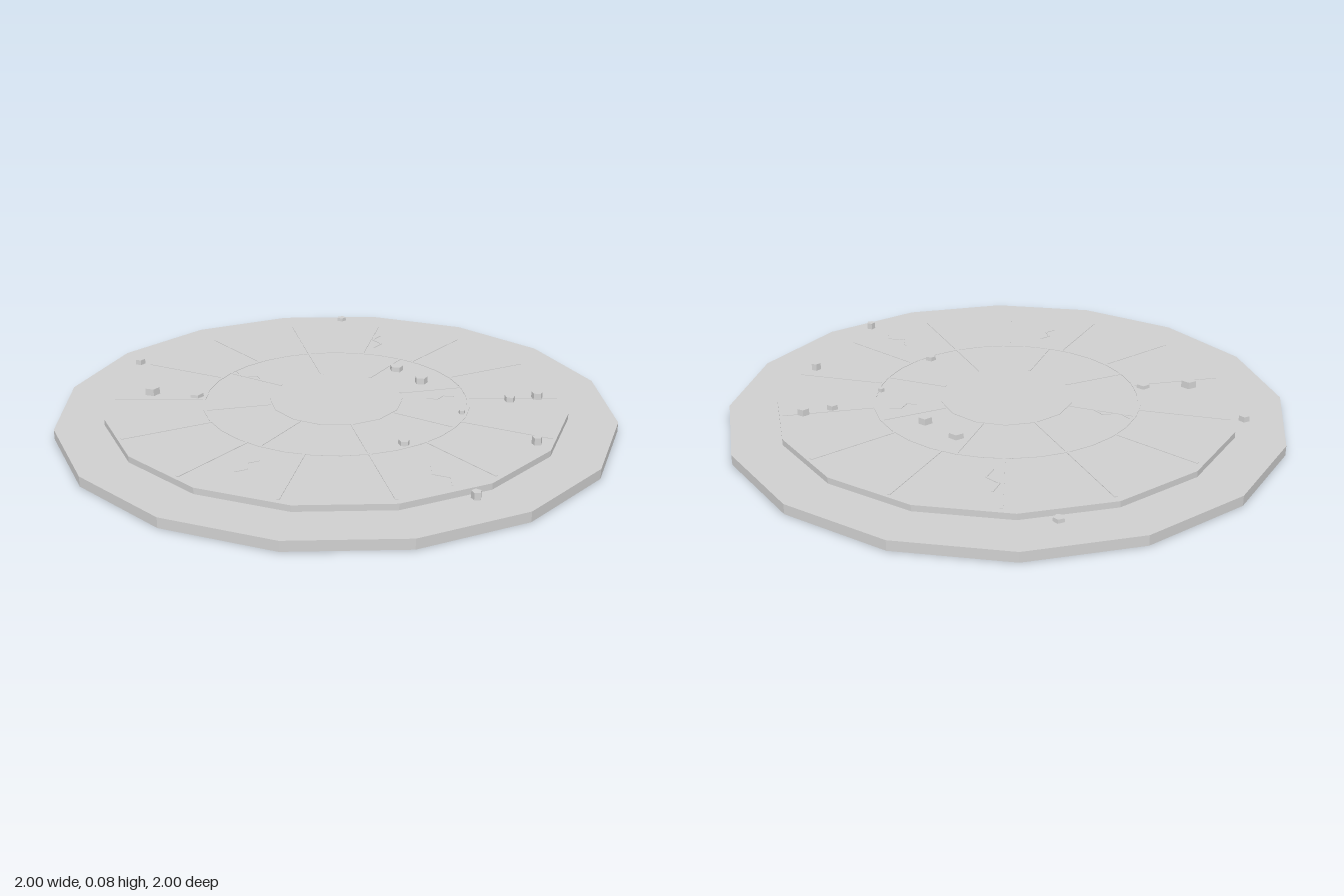
import * as THREE from 'three';

const STEP = 0.036; // height of the lower step
const TOP = 0.058; // height of the paved surface
const LIFT = 0.002; // relief of joints and cracks

export function createModel() {
  const model = new THREE.Group();
  const stone = new THREE.MeshStandardMaterial({ color: 0xd0d0d0, flatShading: true, side: THREE.DoubleSide });
  stone.name = 'grey stone';

  const add = (name, geometry, parent = model) => {
    const mesh = new THREE.Mesh(geometry, stone);
    mesh.name = name;
    parent.add(mesh);
    return mesh;
  };
  const group = (name) => {
    const g = new THREE.Group();
    g.name = name;
    model.add(g);
    return g;
  };

  // Step with a rim wall and a flat top, hollow underneath
  const step = (name, radius, y0, y1, sides = 16) => {
    const profile = [[radius, y0], [radius, y1], [0, y1]].map(([r, y]) => new THREE.Vector2(r, y));
    add(name, new THREE.LatheGeometry(profile, sides));
  };
  step('lowerStep', 1, 0, STEP);
  step('upperStep', 0.827, STEP, TOP);
  step('centreStone', 0.24, TOP, TOP + LIFT, 14);

  // Thin strip lying on the paving between two points [x, z]
  const strip = (name, a, b, width, parent) => {
    const dx = b[0] - a[0], dz = b[1] - a[1];
    const mesh = add(name, new THREE.BoxGeometry(Math.hypot(dx, dz), LIFT, width), parent);
    mesh.position.set((a[0] + b[0]) / 2, TOP + LIFT / 2, (a[1] + b[1]) / 2);
    mesh.rotation.y = -Math.atan2(dz, dx);
  };
  const polar = (r, angle) => [r * Math.cos(angle), r * Math.sin(angle)];

  // Joints between the paving slabs
  const joints = group('pavingJoints');
  for (let i = 0; i < 14; i++) {
    const angle = ((i + 0.5) / 14) * Math.PI * 2;
    strip('outerJoint', polar(0.48, angle), polar(0.8, angle), 0.01, joints);
  }
  for (let i = 0; i < 8; i++) {
    const angle = (i / 8) * Math.PI * 2;
    strip('innerJoint', polar(0.24, angle), polar(0.475, angle), 0.01, joints);
  }
  const ringCount = 32;
  for (let i = 0; i < ringCount; i++) {
    const turn = (Math.PI * 2) / ringCount;
    strip('ringJoint', polar(0.477, i * turn), polar(0.477, (i + 1) * turn), 0.01, joints);
  }

  // Short zigzag cracks: centre x, z and half extent dx, dz
  const cracks = group('cracks');
  [
    [-0.4, 0.475, 0.045, -0.03],
    [0.18, 0.68, -0.01, -0.075],
    [-0.27, -0.285, 0.04, 0.06],
    [0.37, 0.076, 0.05, 0.005],
    [0.3, -0.55, 0.03, -0.065],
  ].forEach(([x, z, dx, dz]) => {
    const points = [-1, -0.3, 0.25, 1].map((t, i) => {
      const side = [0, 0.3, -0.3, 0][i];
      return [x + dx * t - dz * side, z + dz * t + dx * side];
    });
    for (let i = 0; i < 3; i++) strip('crack', points[i], points[i + 1], 0.006, cracks);
  });

  // Scattered rubble: x, z, radius, top height
  const rubble = group('rubble');
  [
    [0.22, -0.85, 0.02, 0.071],
    [-0.665, -0.52, 0.021, 0.077],
    [-0.645, -0.2, 0.029, 0.083],
    [-0.49, -0.135, 0.027, 0.071],
    [0.29, -0.225, 0.028, 0.076],
    [0.345, -0.08, 0.026, 0.081],
    [0.605, 0.16, 0.022, 0.076],
    [0.71, 0.16, 0.022, 0.081],
    [0.4, 0.23, 0.013, 0.071],
    [0.13, 0.43, 0.021, 0.073],
    [0.56, 0.525, 0.019, 0.083],
    [0.235, 0.845, 0.018, 0.082],
  ].forEach(([x, z, r, top], i) => {
    const height = top - TOP;
    const mesh = add('stone', new THREE.CylinderGeometry(r * 0.94, r, height, 5), rubble);
    mesh.position.set(x, TOP + height / 2, z);
    mesh.rotation.y = i * 1.3;
    mesh.scale.z = 0.93;
  });

  return model;
}
